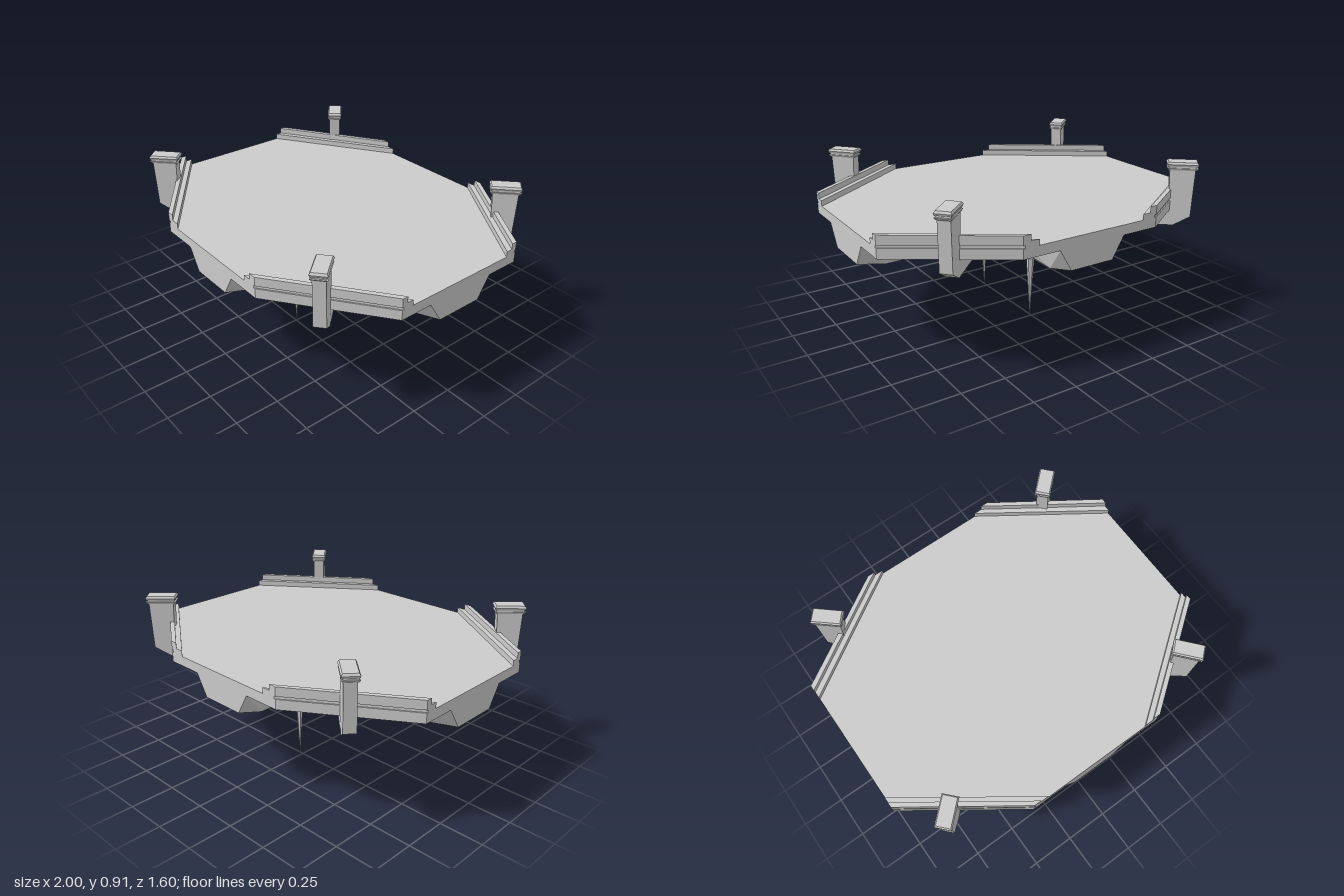
import * as THREE from 'three';

const grey = new THREE.MeshStandardMaterial({ color: 0xcccccc, flatShading: true, side: THREE.DoubleSide });
const V = (x, y, z) => new THREE.Vector3(x, y, z);

// Solid made of polygons, each fanned from its centroid and turned away from `core`
function polySolid(core, polys) {
  const pos = [];
  for (const pts of polys) {
    const mid = pts.reduce((s, p) => s.add(p), V(0, 0, 0)).divideScalar(pts.length);
    const normal = V(0, 0, 0);
    pts.forEach((p, i) => {
      const q = pts[(i + 1) % pts.length];
      normal.add(p.clone().sub(mid).cross(q.clone().sub(mid)));
    });
    const flip = normal.dot(mid.clone().sub(core)) < 0;
    pts.forEach((p, i) => {
      const q = pts[(i + 1) % pts.length];
      for (const c of flip ? [mid, q, p] : [mid, p, q]) pos.push(c.x, c.y, c.z);
    });
  }
  const g = new THREE.BufferGeometry();
  g.setAttribute('position', new THREE.Float32BufferAttribute(pos, 3));
  g.computeVertexNormals();
  return g;
}

// Mirrored point of the slab: outer edges stay at x = 1 and z = 0.8, the rest is slightly off centre
const at = (sx, sz, x, y, z) => V(
  Math.abs(x) >= 1 ? sx : sx * x + 0.015, y,
  Math.abs(z) >= 0.8 ? sz * 0.8 : sz * z - 0.02);

const TOP = 0.69, RIM = 0.635, LOW = 0.5;
const quadrants = [[1, 1], [-1, 1], [-1, -1], [1, -1]];

function platformGeometry() {
  const polys = [], top = [], bottom = [];
  quadrants.forEach(([sx, sz], i) => {
    const p = (x, y, z) => at(sx, sz, x, y, z);
    // upper edge, arm end, arm underside and valley points of this quadrant
    const cx = p(1, RIM, 0.4), cz = p(0.415, RIM, 0.8);
    const cxT = p(1, TOP, 0.4), czT = p(0.415, TOP, 0.8);
    const tx = p(1, RIM, 0.21), tz = p(0.2, RIM, 0.8);
    const bx = p(1, 0.515, 0.135), bz = p(0.13, 0.515, 0.8);
    const lx = p(0.85, LOW, 0.175), lz = p(0.18, LOW, 0.67);
    const P = p(0.41, RIM, 0.25), Q = p(0.28, RIM, 0.36);
    const Pb = p(0.21, LOW, 0.165), Qb = p(0.165, LOW, 0.2);
    polys.push(
      [cxT, czT, cz, cx], [cx, cz, tz, Q, P, tx],       // rim and valley roof
      [tx, bx, lx], [tx, lx, Pb, P],                    // side arm wall
      [tz, bz, lz], [tz, lz, Qb, Q], [P, Q, Qb, Pb]);   // front arm wall, valley head
    const flip = i % 2;
    top.push(...(flip ? [czT, cxT] : [cxT, czT]));
    bottom.push(...(flip ? [lz, Qb, Pb, lx] : [lx, Pb, Qb, lz]));
  });
  // four arm ends: rim strip, trapezoid face, slanted underside
  for (const s of [1, -1]) {
    const X = (x, y, z) => [at(s, 1, x, y, z), at(s, -1, x, y, z)];
    const Z = (x, y, z) => [at(1, s, x, y, z), at(-1, s, x, y, z)];
    const strip = (a, b) => polys.push([a[0], a[1], b[1], b[0]]);
    strip(X(1, TOP, 0.4), X(1, RIM, 0.4));
    strip(X(1, RIM, 0.21), X(1, 0.515, 0.135));
    strip(X(1, 0.515, 0.135), X(0.85, LOW, 0.175));
    strip(Z(0.415, TOP, 0.8), Z(0.415, RIM, 0.8));
    strip(Z(0.2, RIM, 0.8), Z(0.13, 0.515, 0.8));
    strip(Z(0.13, 0.515, 0.8), Z(0.18, LOW, 0.67));
  }
  polys.push(top, bottom);
  return polySolid(V(0, 0.66, 0), polys);
}

// Straight wall layer along a diagonal edge; insets i0 (outer) and i1 (inner) run along the slab sides
function wallLayer(sx, sz, y0, y1, i0, i1) {
  const ring = (y) => [[1, 0.4 - i0], [1, 0.4 - i1]].map(([x, z]) => at(sx, sz, x, y, z))
    .concat([i1, i0].map((i) => at(sx, sz, 0.415 - i * 1.35, y, 0.8)));
  const a = ring(y0), b = ring(y1), polys = [a, b];
  for (let i = 0; i < 4; i++) polys.push([a[i], a[(i + 1) % 4], b[(i + 1) % 4], b[i]]);
  const core = a.concat(b).reduce((s, p) => s.add(p), V(0, 0, 0)).divideScalar(8);
  return polySolid(core, polys);
}

// Brace: outer post running into a tapering fin under the slab; x is outward
function braceGeometry() {
  const s = new THREE.Shape([
    [0.07, 0.88], [0.06, 0.6], [-0.03, 0.547], [-0.62, 0.53], [-0.62, 0.56],
    [-0.5, 0.645], [-0.06, 0.645], [-0.07, 0.88],
  ].map(([x, y]) => new THREE.Vector2(x, y)));
  const g = new THREE.ExtrudeGeometry(s, { depth: 0.066, bevelEnabled: false });
  g.translate(0, 0, -0.033);
  const p = g.attributes.position;
  for (let i = 0; i < p.count; i++) {
    const k = THREE.MathUtils.clamp((p.getX(i) + 0.62) / 0.55, 0, 1);
    p.setZ(i, p.getZ(i) * (0.25 + 0.75 * k));
  }
  g.computeVertexNormals();
  return g;
}

// Rectangular frustum for the moulded post head
function frustum(l0, w0, l1, w1, y0, y1) {
  const g = new THREE.BoxGeometry(1, y1 - y0, 1);
  const p = g.attributes.position;
  for (let i = 0; i < p.count; i++) {
    const up = p.getY(i) > 0;
    p.setX(i, p.getX(i) * (up ? l1 : l0));
    p.setZ(i, p.getZ(i) * (up ? w1 : w0));
  }
  g.translate(0, (y0 + y1) / 2, 0);
  g.computeVertexNormals();
  return g;
}

export function createModel() {
  const model = new THREE.Group();
  const add = (name, geometry, parent = model) => {
    const m = new THREE.Mesh(geometry, grey);
    m.name = name;
    parent.add(m);
    return m;
  };

  add('platform', platformGeometry());

  // Stepped parapets on the diagonal edges
  for (const [sx, sz] of quadrants) {
    const parapet = new THREE.Group();
    parapet.name = 'parapet';
    add('parapetGroove', wallLayer(sx, sz, 0.685, 0.705, 0.008, 0.03), parapet);
    add('parapetWall', wallLayer(sx, sz, 0.705, 0.755, 0, 0.032), parapet);
    add('parapetStep', wallLayer(sx, sz, 0.685, 0.722, 0.03, 0.068), parapet);
    model.add(parapet);
  }

  // Braces with moulded heads: x, z, outward angle in degrees
  const brace = braceGeometry();
  for (const [x, z, a] of [[0.73, 0.632, 49], [-0.785, 0.59, 137], [-0.725, -0.645, 221], [0.73, -0.64, 317]]) {
    const g = new THREE.Group();
    g.name = 'brace';
    add('braceFin', brace, g);
    add('braceCollar', frustum(0.15, 0.074, 0.168, 0.086, 0.865, 0.877), g);
    add('braceNeck', frustum(0.15, 0.074, 0.15, 0.074, 0.877, 0.888), g);
    add('braceCapLower', frustum(0.16, 0.08, 0.17, 0.09, 0.886, 0.898), g);
    add('braceCap', frustum(0.17, 0.09, 0.155, 0.076, 0.898, 0.91), g);
    g.position.set(x, 0, z);
    g.rotation.y = -THREE.MathUtils.degToRad(a);
    model.add(g);
  }

  // Eight-sided hub under the centre
  const hub = new THREE.Shape([
    [0.26, 0.07], [0.125, 0.195], [-0.125, 0.195], [-0.26, 0.07],
    [-0.26, -0.07], [-0.125, -0.195], [0.125, -0.195], [0.26, -0.07],
  ].map(([x, y]) => new THREE.Vector2(x, y)));
  const hubMesh = add('hub', new THREE.ExtrudeGeometry(hub, { depth: 0.08, bevelEnabled: false }));
  hubMesh.rotation.x = -Math.PI / 2;
  hubMesh.position.set(0.012, 0.425, 0);

  // Hanging spikes
  const profile = [[0, 0], [0.023, 0.36], [0.04, 0.385], [0.03, 0.39], [0.03, 0.4], [0.045, 0.47], [0.05, 0.505]]
    .map(([x, y]) => new THREE.Vector2(x, y));
  for (const z of [0.255, -0.255]) {
    add('spike', new THREE.LatheGeometry(profile, 6)).position.set(0.015, 0, z);
  }
  return model;
}
